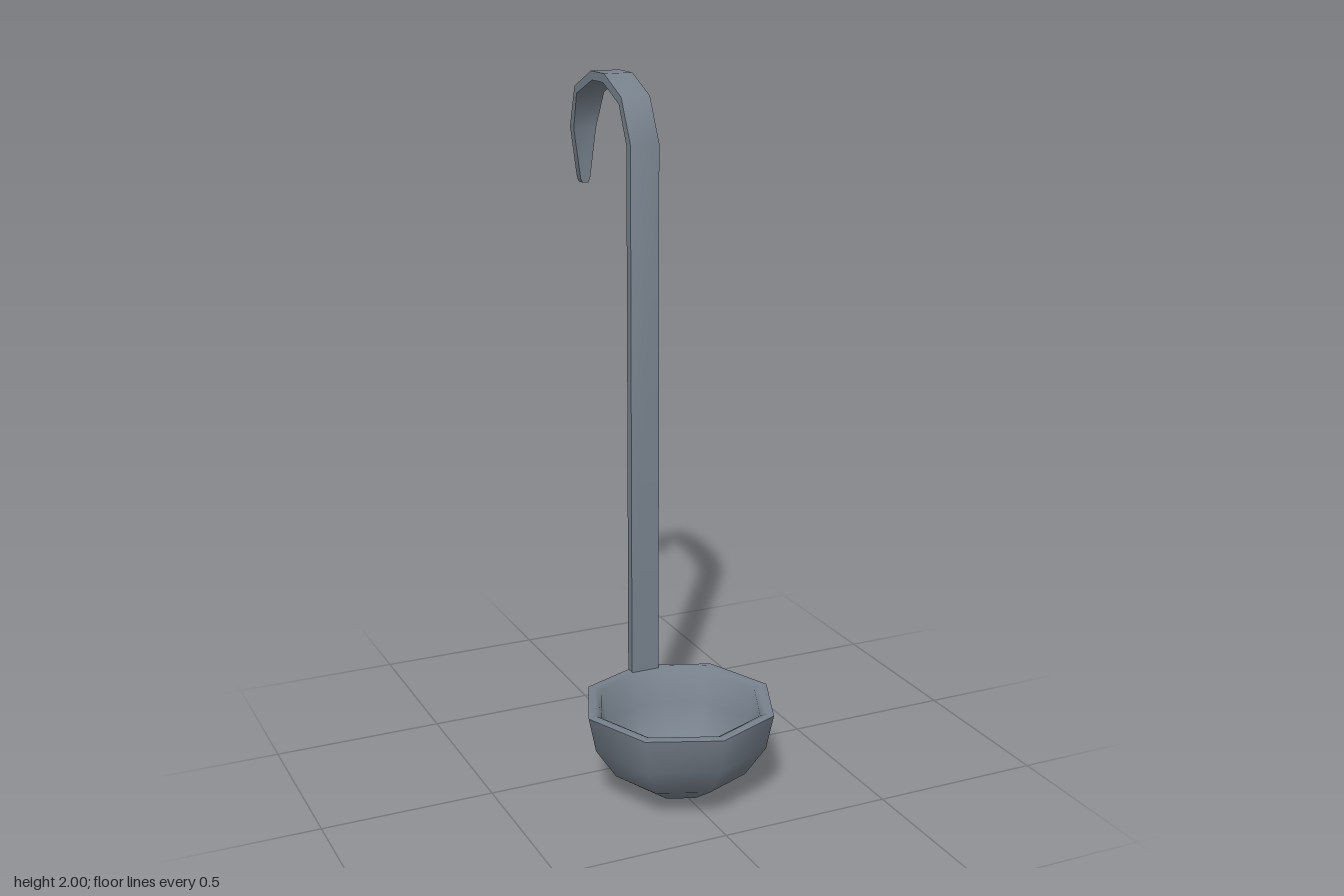
import * as THREE from 'three';
import { toCreasedNormals } from 'three/addons/utils/BufferGeometryUtils.js';

const HALF = 0.043; // half width of the handle strip

// Skin a list of closed rings (arrays of [x, y, z], equal length)
function loft(rings, caps) {
  const pos = [];
  const tri = (a, b, c) => {
    const t = new THREE.Triangle(...[a, b, c].map((p) => new THREE.Vector3(...p)));
    if (t.getArea() > 1e-9) pos.push(...a, ...b, ...c);
  };
  const n = rings[0].length;
  for (let i = 0; i < rings.length - 1; i++) {
    for (let j = 0; j < n; j++) {
      const k = (j + 1) % n;
      tri(rings[i][j], rings[i][k], rings[i + 1][k]);
      tri(rings[i][j], rings[i + 1][k], rings[i + 1][j]);
    }
  }
  if (caps) {
    const first = rings[0], last = rings[rings.length - 1];
    for (let j = 1; j < n - 1; j++) {
      tri(first[0], first[j + 1], first[j]);
      tri(last[0], last[j], last[j + 1]);
    }
  }
  const geometry = new THREE.BufferGeometry();
  geometry.setAttribute('position', new THREE.Float32BufferAttribute(pos, 3));
  return toCreasedNormals(geometry, Math.PI / 3);
}

// Octagon whose back corner is cut flat to the width of the handle
function bowlRing(r, y) {
  const ring = [];
  for (let i = 0; i < 8; i++) {
    const a = (i * Math.PI) / 4;
    if (i === 4) {
      const x = Math.min(HALF, r * 0.4);
      const z = 0.2 - r + x * 0.414;
      ring.push([x, y, z], [-x, y, z]);
    } else {
      ring.push([r * Math.sin(a), y, 0.2 + r * Math.cos(a)]);
    }
  }
  return ring;
}

export function createModel() {
  const model = new THREE.Group();
  const steel = new THREE.MeshStandardMaterial({ color: 0x77818c });
  steel.name = 'steel';

  const add = (name, geometry) => {
    const mesh = new THREE.Mesh(geometry, steel);
    mesh.name = name;
    model.add(mesh);
  };

  // Bowl: outer hemisphere, bevelled rim, inner hemisphere
  const R = 0.28, inner = 0.24;
  const rings = [];
  for (let i = 0; i <= 4; i++) {
    const a = (i * Math.PI) / 8;
    rings.push(bowlRing(R * Math.sin(a), i === 4 ? 0.276 : R - R * Math.cos(a)));
  }
  rings.push(bowlRing(0.258, 0.28));
  for (let i = 4; i >= 0; i--) {
    const a = (i * Math.PI) / 8;
    rings.push(bowlRing(inner * Math.sin(a), 0.27 - inner * Math.cos(a)));
  }
  add('bowl', loft(rings, false));

  // Handle: flat strip, hooked at the top with a tapered tip
  // [outer z, outer y, inner z, inner y, half width]
  const stations = [
    [-0.034, 0.26, -0.061, 0.26, HALF],
    [-0.034, 1.825, -0.061, 1.82, HALF],
    [-0.095, 1.947, -0.112, 1.927, HALF],
    [-0.212, 2.0, -0.22, 1.975, HALF],
    [-0.305, 2.0, -0.297, 1.975, HALF],
    [-0.427, 1.947, -0.412, 1.927, HALF],
    [-0.484, 1.825, -0.455, 1.82, 0.035],
    [-0.484, 1.675, -0.455, 1.675, 0.015],
    [-0.484, 1.662, -0.455, 1.662, 0.009],
  ];
  add('handle', loft(stations.map(([oz, oy, iz, iy, w]) =>
    [[-w, oy, oz], [w, oy, oz], [w, iy, iz], [-w, iy, iz]]), true));

  return model;
}
